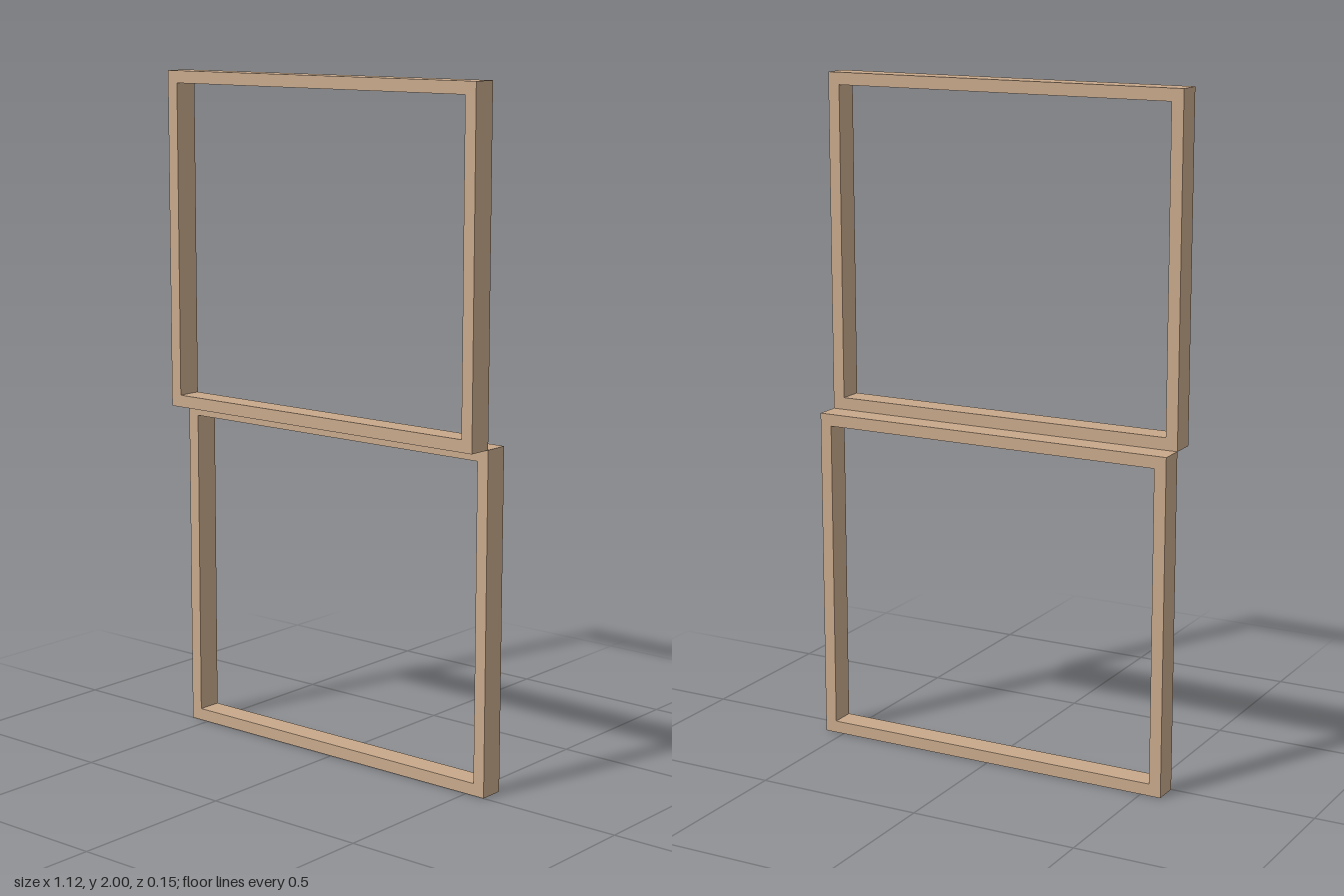
import * as THREE from 'three';

const WIDTH = 1.125, HEIGHT = 1, DEPTH = 0.074, RAIL = 0.036;

// Rectangular outline around the centre
function rectangle(target, w, h) {
  target.moveTo(-w / 2, -h / 2);
  target.lineTo(w / 2, -h / 2);
  target.lineTo(w / 2, h / 2);
  target.lineTo(-w / 2, h / 2);
  target.closePath();
  return target;
}

export function createModel() {
  const model = new THREE.Group();
  model.name = 'slidingSashWindow';
  const wood = new THREE.MeshStandardMaterial({ color: 0xc8a98b });
  wood.name = 'light wood';

  // One open sash frame, shared by both sashes
  const outline = rectangle(new THREE.Shape(), WIDTH, HEIGHT);
  outline.holes.push(rectangle(new THREE.Path(), WIDTH - 2 * RAIL, HEIGHT - 2 * RAIL));
  const geometry = new THREE.ExtrudeGeometry(outline, { depth: DEPTH, bevelEnabled: false });

  // Lower sash sits behind, upper sash in front
  const sashes = [
    ['lowerSash', HEIGHT / 2, -DEPTH],
    ['upperSash', HEIGHT * 1.5, 0],
  ];
  for (const [name, y, z] of sashes) {
    const sash = new THREE.Mesh(geometry, wood);
    sash.name = name;
    sash.position.set(0, y, z);
    model.add(sash);
  }
  return model;
}
